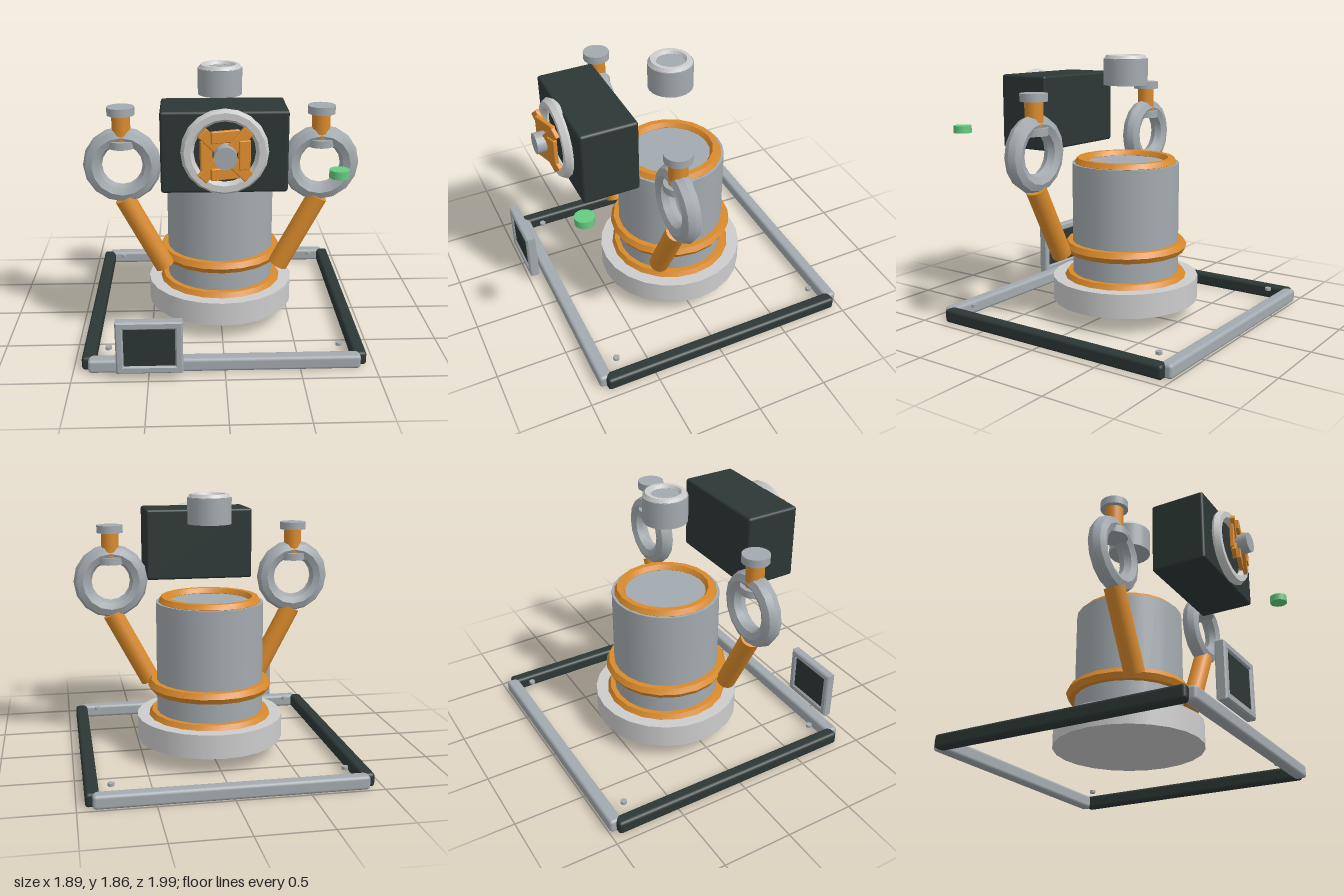
import * as THREE from 'three';
import { RoundedBoxGeometry } from 'three/addons/geometries/RoundedBoxGeometry.js';
import { toCreasedNormals } from 'three/addons/utils/BufferGeometryUtils.js';

const mat = (name, color) => {
  const m = new THREE.MeshStandardMaterial({ color });
  m.name = name;
  return m;
};

export function createModel() {
  const model = new THREE.Group();
  model.name = 'cameraRobot';
  const steel = mat('steelGrey', 0xa3aaaf);
  const orange = mat('orange', 0xd98a2b);
  const dark = mat('darkSlate', 0x2c3735);
  const pale = mat('paleGrey', 0xcccccc);
  const green = mat('green', 0x66cc80);

  const add = (name, geometry, material, x, y, z) => {
    const m = new THREE.Mesh(geometry, material);
    m.name = name;
    m.position.set(x, y, z);
    model.add(m);
    return m;
  };
  const box = (name, material, w, h, d, r, x, y, z) =>
    add(name, new RoundedBoxGeometry(w, h, d, 2, r), material, x, y, z);
  // Upright cylinder given by its bottom and top heights
  const drum = (name, material, r, y0, y1, x, z, sides = 24) =>
    add(name, new THREE.CylinderGeometry(r, r, y1 - y0, sides), material, x, (y0 + y1) / 2, z);
  // Faceted ring facing +z
  const ring = (name, material, R, t, x, y, z, tubeSides = 6, sides = 20) =>
    add(name, toCreasedNormals(new THREE.TorusGeometry(R, t, tubeSides, sides), 0.5), material, x, y, z);
  const flatRing = (name, material, R, t, y) => {
    ring(name, material, R, t, 0, y, -0.05).rotation.x = Math.PI / 2;
  };

  // Floor frame and its loose screws
  for (const z of [-0.95, 0.85]) {
    box('frameCrossRail', steel, 1.8, 0.095, 0.09, 0.022, 0, 0.0475, z);
  }
  for (const s of [-1, 1]) {
    box('frameSideRail', dark, 0.09, 0.095, 1.8, 0.022, s * 0.9, 0.0475, -0.05);
    for (const z of [-0.83, 0.725]) drum('screw', steel, 0.022, 0.09, 0.11, s * 0.775, z, 12);
  }

  // Drum body on its base
  drum('base', pale, 0.525, 0.115, 0.285, 0, -0.05);
  drum('body', steel, 0.382, 0.285, 1.108, 0, -0.05);
  flatRing('baseRing', orange, 0.4, 0.04, 0.285);
  flatRing('waistRing', orange, 0.4, 0.044, 0.507);
  flatRing('neckRing', orange, 0.325, 0.04, 1.11);

  // Floating cap above the body
  drum('cap', steel, 0.155, 1.655, 1.838, 0, -0.05);
  flatRing('capRim', pale, 0.123, 0.026, 1.84);

  // Arms, hand rings and spools
  for (const s of [-1, 1]) {
    const low = new THREE.Vector3(s * 0.4, 0.472, 0.222);
    const high = new THREE.Vector3(s * 0.67, 0.985, 0.222);
    const dir = high.clone().sub(low);
    const mid = low.clone().add(high).multiplyScalar(0.5);
    const arm = add('arm', new THREE.CylinderGeometry(0.071, 0.071, dir.length(), 16), orange, mid.x, mid.y, mid.z);
    arm.quaternion.setFromUnitVectors(new THREE.Vector3(0, 1, 0), dir.normalize());

    ring('handRing', steel, 0.203, 0.065, s * 0.677, 1.226, 0.22, 8, 16);
    drum('spoolStem', orange, 0.063, 1.4, 1.576, s * 0.677, 0.22, 16);
    drum('spoolTop', steel, 0.094, 1.576, 1.63, s * 0.677, 0.22);
    drum('spoolBottom', steel, 0.094, 1.35, 1.402, s * 0.677, 0.22);
  }

  // Box head with lens ring
  box('head', dark, 0.8, 0.524, 0.394, 0.018, 0, 1.458, 0.554);
  ring('lensRing', pale, 0.234, 0.041, 0, 1.47, 0.77);

  // Eight tilted shutter blades around a hub
  for (let i = 0; i < 8; i++) {
    const a = (i * Math.PI) / 4;
    const blade = box('blade', orange, 0.185, 0.075, 0.03, 0.006,
      Math.cos(a) * 0.117, 1.47 + Math.sin(a) * 0.117, 0.84);
    blade.rotation.set(0, 0.3, Math.PI / 2 - a);
  }
  const hub = add('hub', new THREE.CylinderGeometry(0.071, 0.071, 0.12, 20), steel, 0, 1.47, 0.863);
  hub.rotation.x = Math.PI / 2;

  // Green button
  drum('button', green, 0.063, 1.325, 1.376, 0.702, 0.855);

  // Standing screen: bevelled frame around a dark panel
  const rect = (Type, w, h) => new Type([[-1, -1], [1, -1], [1, 1], [-1, 1]]
    .map(([x, y]) => new THREE.Vector2((x * w) / 2, (y * h) / 2)));
  const bevel = 0.01;
  const outline = rect(THREE.Shape, 0.432 - 2 * bevel, 0.366 - 2 * bevel);
  outline.holes.push(rect(THREE.Path, 0.332 + 2 * bevel, 0.262 + 2 * bevel));
  const frame = new THREE.ExtrudeGeometry(outline, {
    depth: 0.05, bevelEnabled: true, bevelThickness: bevel, bevelSize: bevel, bevelSegments: 1,
  });
  add('screenFrame', frame, steel, -0.49, 0.236, 0.935);
  add('screenPanel', new THREE.BoxGeometry(0.345, 0.275, 0.045), dark, -0.49, 0.236, 0.96);

  return model;
}
